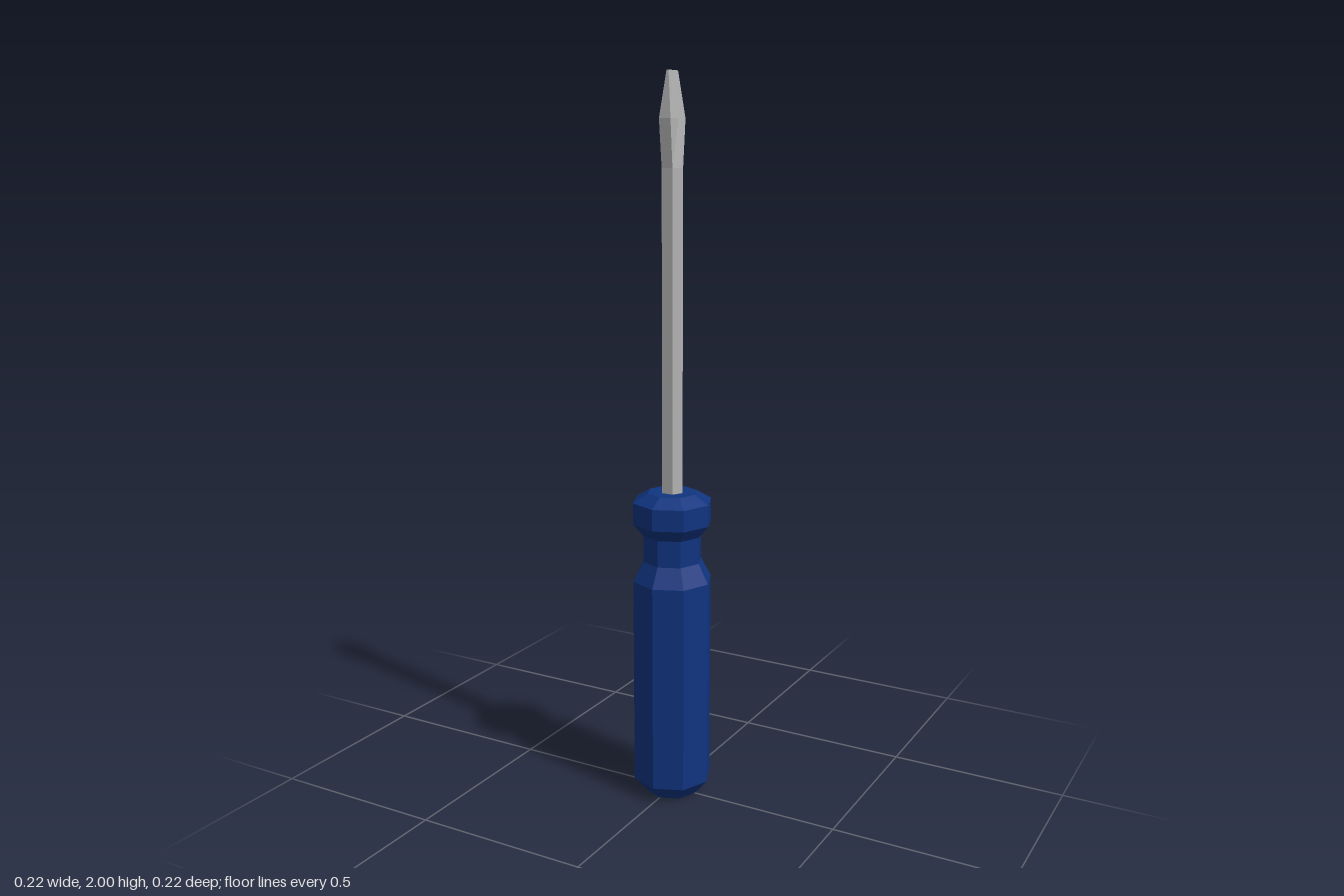
import * as THREE from 'three';

// Split faces so each one is shaded flat
function faceted(geometry) {
  const flat = geometry.toNonIndexed();
  flat.computeVertexNormals();
  return flat;
}

// Loft six-sided sections: [y, side x, corner x, corner z]
function loftHex(sections) {
  const positions = [];
  const index = [];
  for (const [y, sx, cx, cz] of sections) {
    positions.push(sx, y, 0, cx, y, -cz, -cx, y, -cz, -sx, y, 0, -cx, y, cz, cx, y, cz);
  }
  const last = sections.length - 1;
  for (let i = 0; i < last; i++) {
    for (let j = 0; j < 6; j++) {
      const k = (j + 1) % 6;
      const a = i * 6 + j, b = i * 6 + k;
      index.push(a, b, b + 6, a, b + 6, a + 6);
    }
  }
  // End caps
  for (let j = 1; j < 5; j++) {
    index.push(last * 6, last * 6 + j, last * 6 + j + 1);
    index.push(0, j + 1, j);
  }
  const geometry = new THREE.BufferGeometry();
  geometry.setAttribute('position', new THREE.Float32BufferAttribute(positions, 3));
  geometry.setIndex(index);
  return faceted(geometry);
}

export function createModel() {
  const group = new THREE.Group();
  group.name = 'screwdriver';

  const blue = new THREE.MeshStandardMaterial({ color: 0x10347f });
  blue.name = 'blue plastic';
  const steel = new THREE.MeshStandardMaterial({ color: 0xb2b2b2 });
  steel.name = 'grey steel';

  const add = (name, geometry, material) => {
    const mesh = new THREE.Mesh(geometry, material);
    mesh.name = name;
    group.add(mesh);
  };

  // Eight-sided handle with a narrow neck and a collar
  const profile = [
    [0, 0], [0.073, 0], [0.112, 0.045], [0.112, 0.635], [0.083, 0.69],
    [0.083, 0.765], [0.112, 0.80], [0.112, 0.86], [0.07, 0.885], [0, 0.885],
  ].map(([r, y]) => new THREE.Vector2(r, y));
  add('handle', faceted(new THREE.LatheGeometry(profile, 8)), blue);

  // Hexagonal shaft
  add('shaft', loftHex([
    [0.87, 0.032, 0.016, 0.028],
    [1.755, 0.032, 0.016, 0.028],
  ]), steel);

  // Flat blade: flares sideways, then narrows to a thin edge
  add('blade', loftHex([
    [1.755, 0.032, 0.016, 0.028],
    [1.88, 0.018, 0.017, 0.04],
    [2.0, 0.003, 0.003, 0.025],
  ]), steel);

  return group;
}
